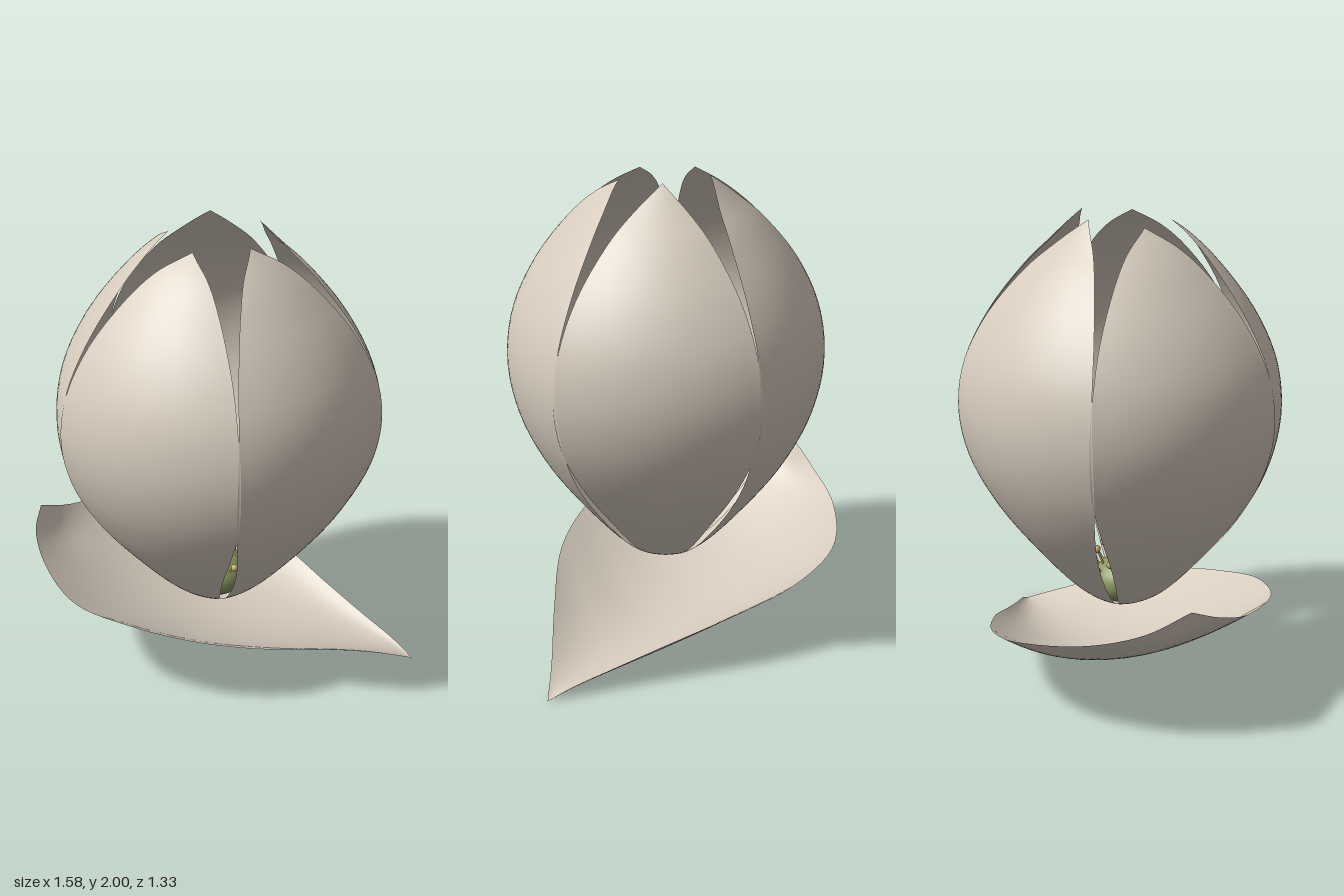
import * as THREE from 'three';

const petalMat = new THREE.MeshStandardMaterial({ name: 'cream petal', color: 0xd6cbbd, side: THREE.DoubleSide });
const pistilMat = new THREE.MeshStandardMaterial({ name: 'olive green', color: 0x8a9662 });
const stamenMat = new THREE.MeshStandardMaterial({ name: 'tan pollen', color: 0xc8a868 });

const AXIS_Z = 0.02; // the blossom's axis sits slightly forward

const curve = (pts) => new THREE.CatmullRomCurve3(pts.map((p) => new THREE.Vector3(...p)));

// Smooth sheet from a rule f(u, v) giving a Vector3
function sheet(rows, cols, f) {
  const pos = [], idx = [];
  for (let i = 0; i <= rows; i++)
    for (let j = 0; j <= cols; j++) pos.push(...f(i / rows, j / cols).toArray());
  for (let i = 0; i < rows; i++)
    for (let j = 0; j < cols; j++) {
      const a = i * (cols + 1) + j, b = a + cols + 1;
      idx.push(a, a + 1, b, a + 1, b + 1, b);
    }
  const g = new THREE.BufferGeometry();
  g.setAttribute('position', new THREE.Float32BufferAttribute(pos, 3));
  g.setIndex(idx);
  g.computeVertexNormals();
  return g;
}

function mesh(geo, mat, name) {
  const m = new THREE.Mesh(geo, mat);
  m.name = name;
  return m;
}

// Cupped petal; each profile point is (half width, height, distance from axis)
function petalGeometry(top) {
  const profile = curve([
    [0.015, 0.315, 0.005], [0.055, 0.335, 0.09], [0.105, 0.4, 0.19], [0.205, 0.6, 0.37],
    [0.305, 0.8, 0.515], [0.38, 1.0, 0.61], [0.405, 1.2, 0.648], [0.385, 1.4, 0.625],
    [0.32, 1.6, 0.535], [0.2, 1.8, 0.385], [0.11, 1.9, 0.285], [0, top, 0.19],
  ]);
  return sheet(48, 20, (u, v) => {
    const p = profile.getPoint(u), s = v * 2 - 1;
    const sag = Math.min(0.8 * p.x * p.x / (2 * p.z + 0.001), p.z * 0.5);
    return new THREE.Vector3(p.x * s, p.y, p.z - sag * s * s);
  });
}

// Fallen petal lying under the blossom: front rim, keel and back rim
function fallenPetalGeometry() {
  const end = [-0.79, 0.6, 0.18], tip = [0.79, 0, -0.33];
  const front = curve([end, [-0.74, 0.55, 0.3], [-0.6, 0.49, 0.44], [-0.35, 0.46, 0.59], [-0.1, 0.43, 0.58],
    [0.13, 0.37, 0.48], [0.35, 0.3, 0.31], [0.55, 0.19, 0.03], [0.69, 0.08, -0.19], tip]);
  const keel = curve([end, [-0.73, 0.46, 0.13], [-0.6, 0.35, 0.06], [-0.38, 0.23, 0], [-0.1, 0.14, -0.04],
    [0.14, 0.1, -0.1], [0.35, 0.08, -0.17], [0.55, 0.055, -0.24], [0.69, 0.03, -0.3], tip]);
  const back = curve([end, [-0.78, 0.51, 0], [-0.72, 0.45, -0.22], [-0.52, 0.39, -0.48], [-0.25, 0.32, -0.56],
    [0.05, 0.25, -0.53], [0.3, 0.17, -0.46], [0.52, 0.1, -0.4], [0.68, 0.05, -0.36], tip]);
  return sheet(54, 24, (u, v) => {
    const s = v * 2 - 1;
    return new THREE.Vector3()
      .addScaledVector(front.getPoint(u), s * (s - 1) / 2)
      .addScaledVector(keel.getPoint(u), 1 - s * s)
      .addScaledVector(back.getPoint(u), s * (s + 1) / 2);
  });
}

export function createModel() {
  const model = new THREE.Group();
  model.name = 'blossom';

  // Five petals around the axis
  [1.97, 1.975, 2, 2, 1.975].forEach((top, i) => {
    const petal = mesh(petalGeometry(top), petalMat, 'petal');
    petal.position.z = AXIS_Z;
    petal.rotation.y = i * Math.PI * 2 / 5;
    model.add(petal);
  });

  model.add(mesh(fallenPetalGeometry(), petalMat, 'fallenPetal'));

  // Green heart
  const pistil = mesh(new THREE.SphereGeometry(0.133, 32, 20), pistilMat, 'pistil');
  pistil.scale.y = 0.75;
  pistil.position.set(0, 0.42, AXIS_Z);
  model.add(pistil);

  // Ring of stamens: slanted filament with a round anther
  const stamens = new THREE.Group();
  stamens.name = 'stamens';
  stamens.position.z = AXIS_Z;
  const count = 20, anther = new THREE.SphereGeometry(0.016, 12, 8);
  for (let i = 0; i < count; i++) {
    const a = (i + 0.3) / count * Math.PI * 2;
    const r = [0.09, 0.14, 0.115, 0.15][i % 4];
    const y = [0.57, 0.53, 0.56, 0.51][i % 4];
    const at = (rad, h) => new THREE.Vector3(Math.sin(a) * rad, h, Math.cos(a) * rad);
    const path = new THREE.LineCurve3(at(r * 0.6, 0.45), at(r, y));
    stamens.add(mesh(new THREE.TubeGeometry(path, 1, 0.005, 6), stamenMat, 'filament'));
    const head = mesh(anther, stamenMat, 'anther');
    head.position.copy(at(r, y));
    stamens.add(head);
  }
  model.add(stamens);
  return model;
}
